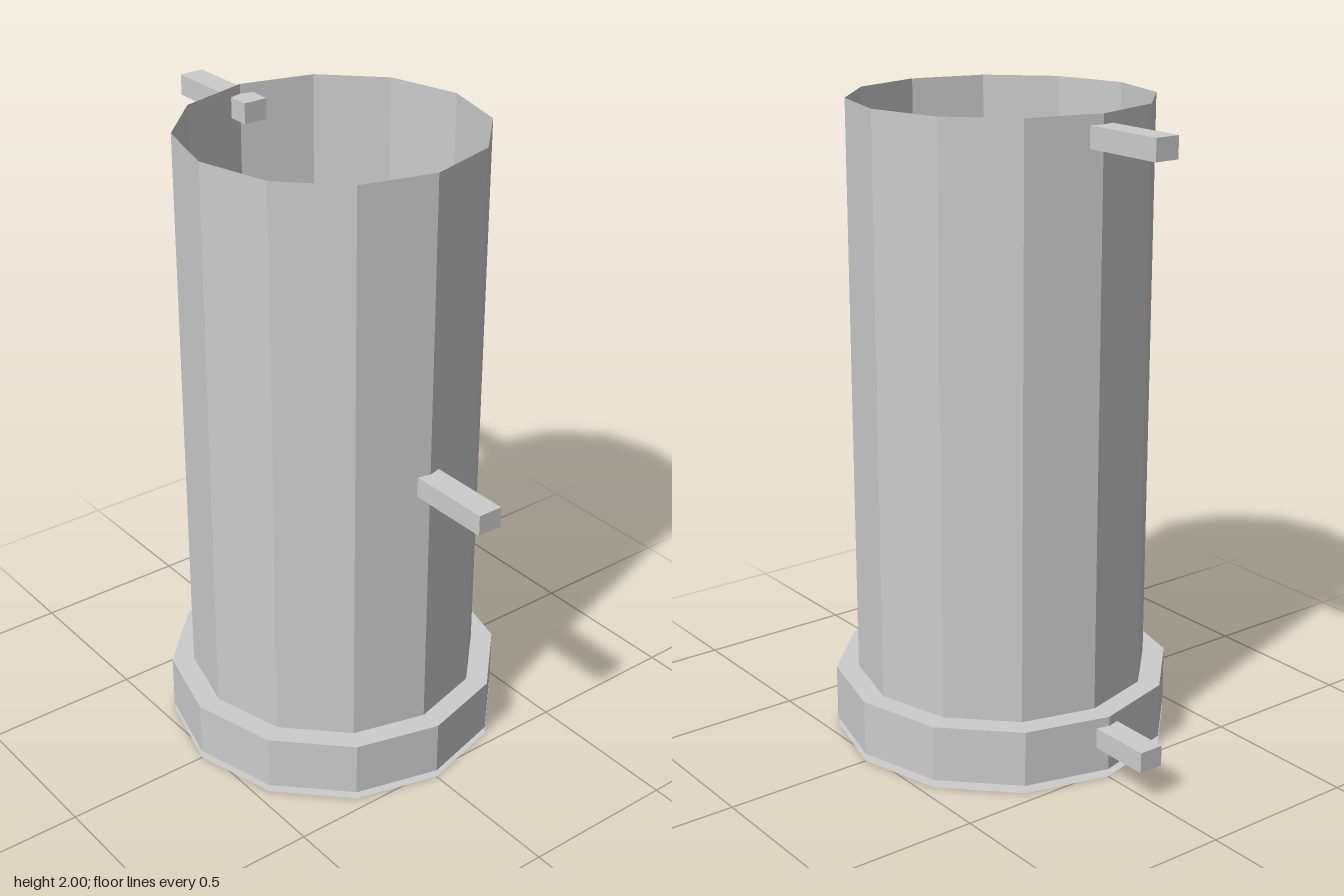
import * as THREE from 'three';

const SIDES = 12;

export function createModel() {
  const model = new THREE.Group();
  model.name = 'peggedTube';

  const grey = new THREE.MeshStandardMaterial({
    color: 0xcccccc, flatShading: true, side: THREE.DoubleSide,
  });
  grey.name = 'light grey';

  const add = (name, geometry, x, y, z) => {
    const mesh = new THREE.Mesh(geometry, grey);
    mesh.name = name;
    mesh.position.set(x, y, z);
    model.add(mesh);
    return mesh;
  };

  // Thin-walled tube, open at the top
  add('tubeWall', new THREE.CylinderGeometry(0.46, 0.46, 2, SIDES, 1, true), 0, 1, 0);

  // Solid collar, whose top is also the floor inside the tube
  add('baseCollar', new THREE.CylinderGeometry(0.53, 0.53, 0.175, SIDES), 0, 0.1125, 0);

  // Flat plate under the collar, with corners lined up with it
  const plate = new THREE.CircleGeometry(0.53, SIDES).rotateX(Math.PI / 2);
  add('basePlate', plate, 0, 0, 0);

  // Square pegs running through the wall
  const pegShape = new THREE.BoxGeometry(0.08, 0.065, 0.34);
  const pegs = [
    ['frontPeg', 1.037, 0.55],
    ['upperBackPeg', 1.937, -0.55],
    ['lowerBackPeg', 0.137, -0.55],
  ];
  for (const [name, y, z] of pegs) add(name, pegShape, 0, y, z);

  return model;
}
